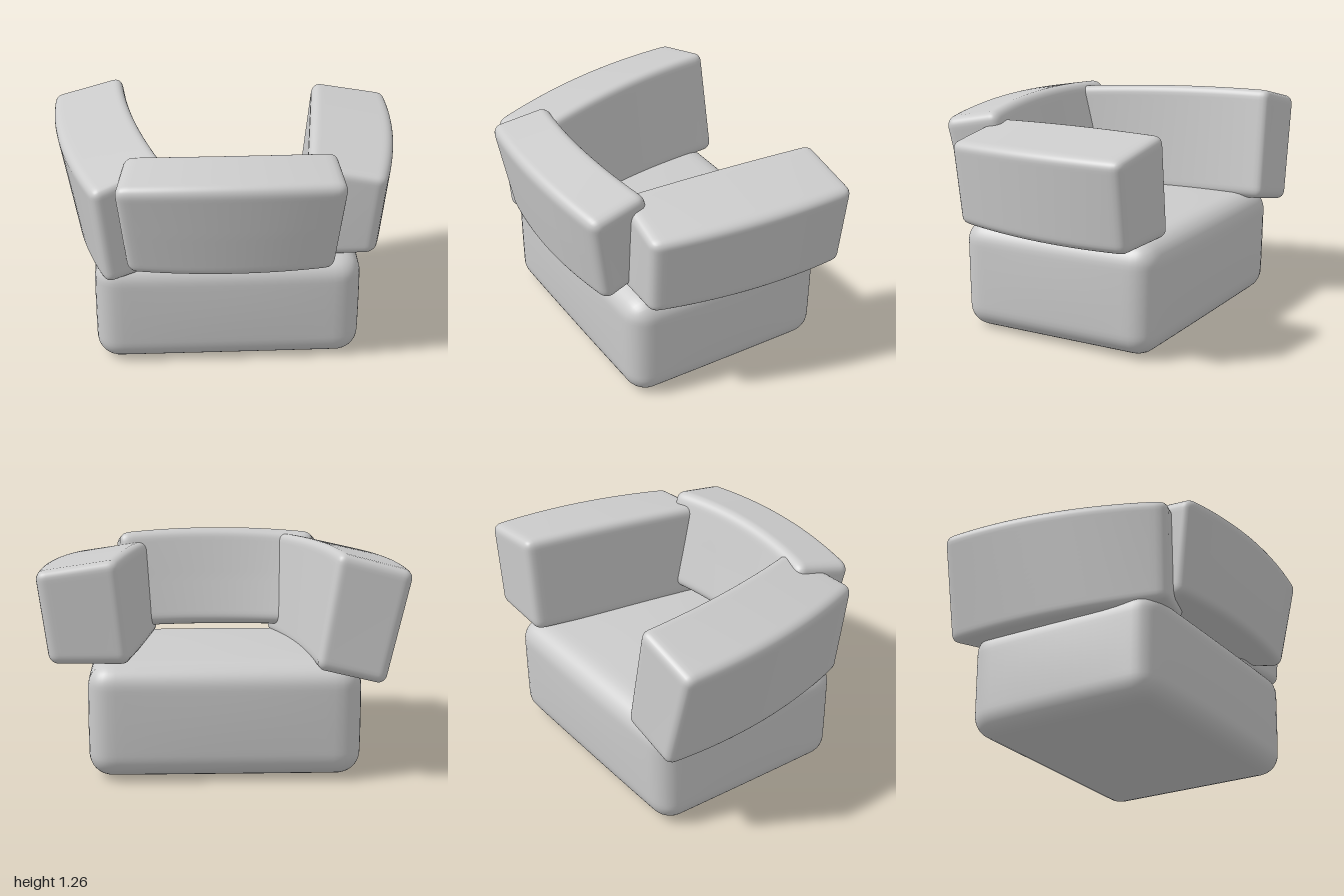
import * as THREE from 'three';
import { mergeVertices } from 'three/addons/utils/BufferGeometryUtils.js';

const material = new THREE.MeshStandardMaterial({ color: 0xcccccc });

// Soft block: a rounded box of the given size, stretched onto eight corners.
// corners are indexed by x + 2y + 4z (0 = low side, 1 = high side);
// bow(u, v, w) returns an extra [dx, dy, dz] for a point in the -1..1 cube.
function cushion(name, size, radius, corners, bow) {
  const n = 28;
  let geo = new THREE.BoxGeometry(2, 2, 2, n, n, n);
  geo.deleteAttribute('uv');
  geo.deleteAttribute('normal');
  geo = mergeVertices(geo, 1e-4);
  const pos = geo.attributes.position;
  const half = new THREE.Vector3(...size).multiplyScalar(0.5);
  const core = half.clone().subScalar(radius);
  const minCore = core.clone().negate();
  const pts = corners.map((c) => new THREE.Vector3(...c));
  const p = new THREE.Vector3(), inner = new THREE.Vector3(), out = new THREE.Vector3();
  // crowd the grid lines towards the edges, where the rounding is
  const ease = (t) => 0.25 * t + 0.75 * Math.sin((t * Math.PI) / 2);

  for (let i = 0; i < pos.count; i++) {
    p.fromBufferAttribute(pos, i);
    p.set(ease(p.x), ease(p.y), ease(p.z)).multiply(half);
    inner.copy(p).clamp(minCore, core);
    p.sub(inner).setLength(radius).add(inner).divide(half);
    out.set(0, 0, 0);
    pts.forEach((c, k) => {
      const wx = k & 1 ? 1 + p.x : 1 - p.x;
      const wy = k & 2 ? 1 + p.y : 1 - p.y;
      const wz = k & 4 ? 1 + p.z : 1 - p.z;
      out.addScaledVector(c, (wx * wy * wz) / 8);
    });
    const [dx, dy, dz] = bow(p.x, p.y, p.z);
    pos.setXYZ(i, out.x + dx, out.y + dy, out.z + dz);
  }
  geo.computeVertexNormals();
  const mesh = new THREE.Mesh(geo, material);
  mesh.name = name;
  return mesh;
}

const dome = (a, b) => (1 - a * a) * (1 - b * b);

export function createModel() {
  const chair = new THREE.Group();
  chair.name = 'armchair';

  // Thick seat block with a slightly crowned top
  chair.add(cushion('seat', [1.5, 0.66, 1.24], 0.13, [
    [-0.75, 0.025, -0.7], [0.74, 0.025, -0.7], [-0.75, 0.66, -0.71], [0.74, 0.66, -0.71],
    [-0.75, 0.005, 0.51], [0.74, 0.005, 0.51], [-0.75, 0.63, 0.52], [0.74, 0.63, 0.52],
  ], (u, v, w) => [
    0.012 * u * (1 - v * v) * (1 - w * w),
    v > 0 ? 0.025 * v * dome(u, w) : 0,
    0.012 * w * dome(u, v),
  ]));

  // Curved backrest, leaning outwards
  chair.add(cushion('backrest', [1.2, 0.6, 0.4], 0.06, [
    [-0.5, 0.70, 0.21], [0.5, 0.70, 0.21], [-0.57, 1.24, 0.36], [0.60, 1.24, 0.36],
    [-0.57, 0.62, 0.59], [0.58, 0.62, 0.60], [-0.63, 1.17, 0.69], [0.63, 1.17, 0.70],
  ], (u, v) => [0, (v > 0 ? 0.025 * v : 0) * (1 - u * u), 0.06 * (1 - u * u)]));

  // Upright armrest, bowed on its outer side
  chair.add(cushion('leftArmrest', [0.42, 0.54, 1.16], 0.05, [
    [0.51, 0.67, -0.70], [0.94, 0.67, -0.68], [0.57, 1.24, -0.70], [1.01, 1.17, -0.68],
    [0.37, 0.62, 0.44], [0.81, 0.64, 0.46], [0.43, 1.18, 0.44], [0.86, 1.11, 0.48],
  ], (u, v, w) => [(0.025 + 0.025 * u) * (1 - w * w), 0.01 * v * (1 - w * w), 0]));

  // Taller armrest, tilted outwards and bowed as a whole
  chair.add(cushion('rightArmrest', [0.42, 0.62, 1.3], 0.05, [
    [-0.86, 0.56, -0.76], [-0.49, 0.65, -0.76], [-1.01, 1.17, -0.73], [-0.60, 1.28, -0.74],
    [-0.68, 0.55, 0.58], [-0.29, 0.62, 0.44], [-0.74, 1.12, 0.61], [-0.35, 1.23, 0.45],
  ], (u, v, w) => [-(0.06 - 0.015 * u) * (1 - w * w), 0.01 * v * (1 - w * w), 0]));

  return chair;
}
